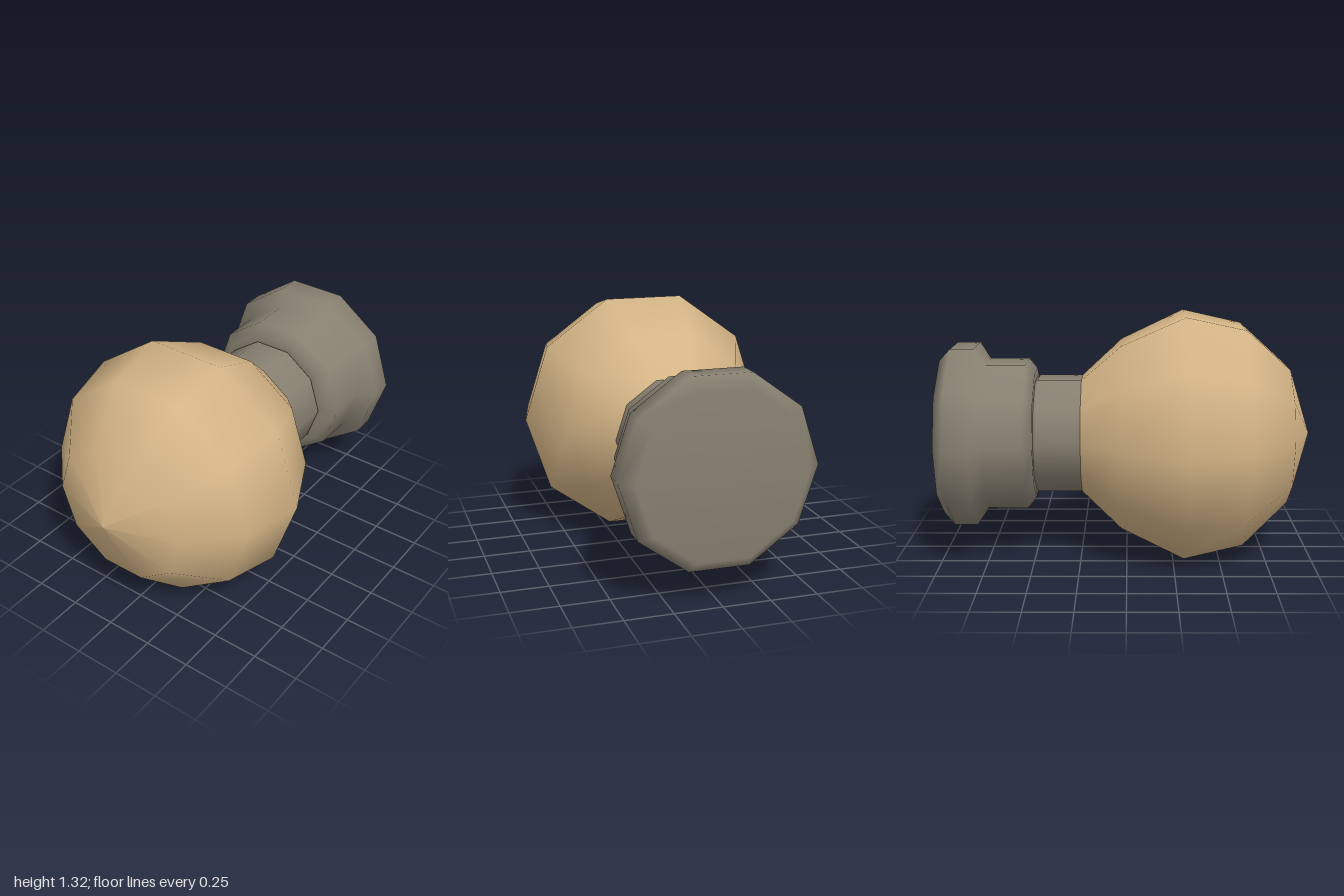
import * as THREE from 'three';

const SIDES = 10;
const AXIS_HEIGHT = 0.66;

// Ten-sided turned part along z; profile pairs are [radius, z] from back to front.
function turned(name, profile, material) {
  const points = profile.map(([r, z]) => new THREE.Vector2(r, z));
  const geometry = new THREE.LatheGeometry(points, SIDES, Math.PI / 2);
  geometry.rotateX(Math.PI / 2);
  const mesh = new THREE.Mesh(geometry, material);
  mesh.name = name;
  mesh.position.y = AXIS_HEIGHT;
  return mesh;
}

export function createModel() {
  const tan = new THREE.MeshStandardMaterial({ color: 0xd4b586 });
  tan.name = 'tan';
  const grey = new THREE.MeshStandardMaterial({ color: 0x878071 });
  grey.name = 'warm grey';

  const group = new THREE.Group();
  group.name = 'bulb';

  // Rounded globe, tapering towards the neck
  group.add(turned('globe', [
    [0.323, -0.245], [0.527, -0.03], [0.692, 0.31],
    [0.618, 0.63], [0.385, 0.875], [0, 1],
  ], tan));

  // Narrow neck with a slight bevel at the back
  group.add(turned('neck', [
    [0.31, -0.495], [0.323, -0.48], [0.323, -0.245],
  ], grey));

  // Stepped base with a flared, chamfered rim
  group.add(turned('base', [
    [0, -1], [0.44, -1], [0.507, -0.94], [0.507, -0.815],
    [0.415, -0.755], [0.415, -0.54], [0.36, -0.495], [0.3, -0.495],
  ], grey));

  return group;
}
